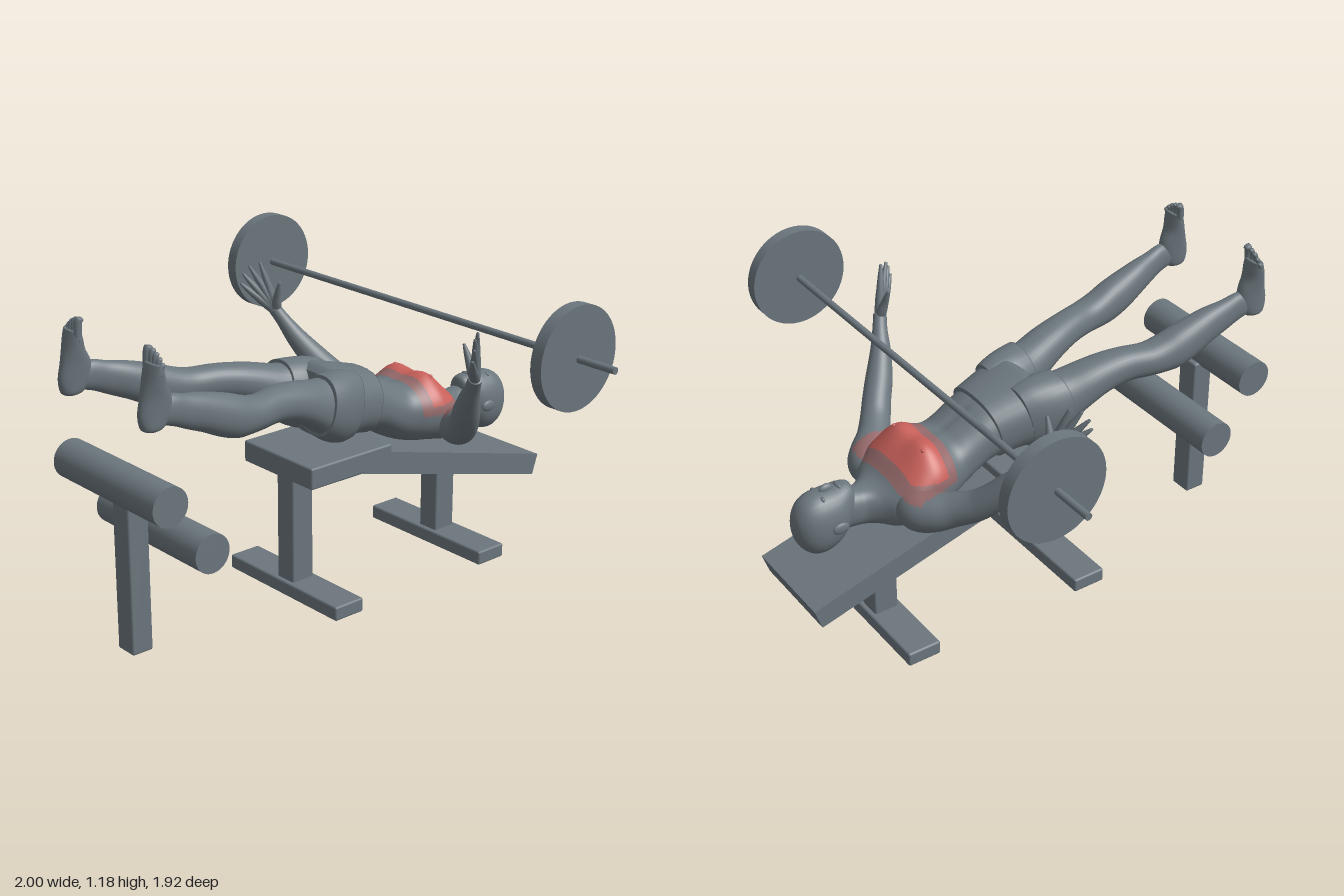
import * as THREE from 'three';
import { RoundedBoxGeometry } from 'three/addons/geometries/RoundedBoxGeometry.js';

const steel = new THREE.MeshStandardMaterial({ color: 0x6b767d });
const muscleRed = new THREE.MeshStandardMaterial({ color: 0xc8605a });
const fadedRed = new THREE.MeshStandardMaterial({ color: 0x94696a });
steel.name = 'steelGrey'; muscleRed.name = 'muscleRed'; fadedRed.name = 'fadedRed';
const tones = [steel, muscleRed, fadedRed];

// Smooth interpolation through rows of numbers, t in 0..1
function sample(rows, t) {
  const f = t * (rows.length - 1), i = Math.min(Math.floor(f), rows.length - 2), k = f - i;
  const at = (n) => rows[Math.max(0, Math.min(rows.length - 1, n))];
  const [a, b, c, d] = [at(i - 1), at(i), at(i + 1), at(i + 2)];
  return b.map((_, j) => b[j] + 0.5 * k * (c[j] - a[j]
    + k * (2 * a[j] - 5 * b[j] + 4 * c[j] - d[j] + k * (3 * (b[j] - c[j]) + d[j] - a[j]))));
}

// Closed skin over rings of points; paint(centroid) picks the tone of each triangle
function skin(rings, flip, paint) {
  const n = rings[0].length, pts = rings.flat(), lists = [[], [], []];
  const mid = (ring) => ring.reduce((s, p) => s.add(p), new THREE.Vector3()).divideScalar(n);
  const first = pts.length, last = first + 1;
  pts.push(mid(rings[0]), mid(rings[rings.length - 1]));
  const tri = (a, b, c) => {
    const m = pts[a].clone().add(pts[b]).add(pts[c]).divideScalar(3);
    lists[paint ? paint(m) : 0].push(...(flip ? [a, c, b] : [a, b, c]));
  };
  for (let i = 0; i < rings.length; i++) for (let j = 0; j < n; j++) {
    const k = (j + 1) % n, a = i * n + j, b = i * n + k;
    if (i === 0) tri(first, b, a);
    if (i === rings.length - 1) { tri(last, a, b); continue; }
    tri(a, b, b + n); tri(a, b + n, a + n);
  }
  const g = new THREE.BufferGeometry().setFromPoints(pts);
  g.setIndex(lists.flat());
  let start = 0;
  lists.forEach((l, m) => { if (l.length) g.addGroup(start, l.length, m); start += l.length; });
  g.computeVertexNormals();
  return g;
}

// Rows [station, x0, x1, b0, b1]: stations run along z (b is y) or along y (b is z)
function loft(rows, { axis = 'z', steps = 40, seg = 32, power = 2.2, bend, paint } = {}) {
  const rings = [];
  for (let i = 0; i <= steps; i++) {
    const [s, x0, x1, b0, b1] = sample(rows, i / steps), ring = [];
    for (let j = 0; j < seg; j++) {
      const a = j / seg * Math.PI * 2, c = Math.cos(a), d = Math.sin(a);
      const x = (x0 + x1) / 2 + (x1 - x0) / 2 * Math.sign(c) * Math.abs(c) ** (2 / power);
      const b = (b0 + b1) / 2 + (b1 - b0) / 2 * Math.sign(d) * Math.abs(d) ** (2 / power);
      const p = axis === 'z' ? new THREE.Vector3(x, b, s) : new THREE.Vector3(x, s, b);
      if (bend) bend(p, d);
      ring.push(p);
    }
    rings.push(ring);
  }
  return skin(rings, axis === 'y', paint);
}

// Tapered limb through rows [x, y, z, radius]
function limb(rows, steps = 12, seg = 10, paint) {
  const at = (t) => { const r = sample(rows, t); return [new THREE.Vector3(r[0], r[1], r[2]), r[3]]; };
  const u = new THREE.Vector3(), v = new THREE.Vector3(), rings = [];
  for (let i = 0; i <= steps; i++) {
    const t = i / steps, [p, r] = at(t);
    const dir = at(Math.min(1, t + 0.01))[0].sub(at(Math.max(0, t - 0.01))[0]).normalize();
    u.set(0.3, 0.1, -1).cross(dir).normalize();
    v.crossVectors(dir, u);
    rings.push(Array.from({ length: seg }, (_, j) => {
      const a = j / seg * Math.PI * 2;
      return p.clone().addScaledVector(u, r * Math.cos(a)).addScaledVector(v, r * Math.sin(a));
    }));
  }
  return skin(rings, false, paint);
}

// Highlighted chest area with a faded border
function chestTone({ x, y, z }) {
  const w = Math.abs(x);
  if (z > -0.535 && z < -0.4 && w < 0.185 && y > 0.64) return 1;
  return z > -0.575 && z < -0.36 && w < 0.225 && y > 0.605 ? 2 : 0;
}

export function createModel() {
  const model = new THREE.Group();
  const add = (name, geo, mat = steel, parent = model) => {
    const m = new THREE.Mesh(geo, mat);
    m.name = name; parent.add(m);
    return m;
  };
  const section = (name) => { const g = new THREE.Group(); g.name = name; model.add(g); return g; };
  const box = (name, parent, y0, y1, z0, z1, w) =>
    add(name, new RoundedBoxGeometry(w, y1 - y0, z1 - z0, 2, 0.008), steel, parent)
      .position.set(0, (y0 + y1) / 2, (z0 + z1) / 2);
  const rod = (name, parent, r, len, x, y, z, seg = 48) =>
    add(name, new THREE.CylinderGeometry(r, r, len, seg).rotateZ(Math.PI / 2), steel, parent).position.set(x, y, z);
  const ball = (name, parent, mat, x, y, z, a, b, c) =>
    add(name, new THREE.SphereGeometry(1, 16, 12).scale(a, b, c), mat, parent).position.set(x, y, z);

  // Barbell
  const barbell = section('barbell');
  rod('bar', barbell, 0.013, 2, 0, 0.99, -0.425, 20);
  for (const s of [-1, 1]) rod('weightPlate', barbell, 0.188, 0.048, s * 0.815, 0.992, -0.425, 64);

  // Bench with flat seat and declined back board
  const bench = section('bench');
  box('seat', bench, 0.475, 0.557, -0.178, 0.207, 0.38);
  const side = new THREE.Shape([[-0.04, 0.475], [-0.04, 0.55], [-0.175, 0.525], [-0.964, 0.314], [-0.938, 0.235]]
    .map(([z, y]) => new THREE.Vector2(z, y)));
  add('backBoard', new THREE.ExtrudeGeometry(side, { depth: 0.38, bevelEnabled: false })
    .translate(0, 0, -0.19).rotateY(-Math.PI / 2), steel, bench);
  for (const [z, top] of [[0.125, 0.49], [-0.6, 0.38 + 0.02]]) {
    box('benchLeg', bench, 0.04, top, z - 0.048, z + 0.048, 0.09);
    box('benchFoot', bench, 0, 0.055, z - 0.066, z + 0.066, 0.605);
  }

  // Roller stand
  const stand = section('rollerStand');
  box('standPost', stand, 0, 0.6, 0.805, 0.89, 0.09);
  rod('upperRoller', stand, 0.071, 0.575, 0, 0.635, 0.887);
  rod('lowerRoller', stand, 0.071, 0.575, 0, 0.422, 0.722);

  // Torso and neck: [z, half width, back, front]
  const body = section('figure');
  const wide = (rows) => rows.map(([z, w, b, f]) => [z, -w, w, b, f]);
  add('torso', loft(wide([
    [-0.78, 0.05, 0.47, 0.6], [-0.7, 0.058, 0.465, 0.608], [-0.66, 0.066, 0.46, 0.604], [-0.62, 0.1, 0.455, 0.606],
    [-0.58, 0.155, 0.45, 0.624], [-0.53, 0.185, 0.452, 0.672], [-0.47, 0.188, 0.462, 0.718], [-0.43, 0.186, 0.47, 0.728],
    [-0.38, 0.172, 0.478, 0.718], [-0.33, 0.152, 0.492, 0.715], [-0.28, 0.142, 0.515, 0.738], [-0.2, 0.143, 0.56, 0.782],
    [-0.12, 0.155, 0.585, 0.81],
  ]), {
    steps: 90, seg: 72, power: 2.3, paint: chestTone,
    bend(p, d) {
      if (d <= 0) return;
      const pec = Math.exp(-(((Math.abs(p.x) - 0.085) / 0.06) ** 2) - ((p.z + 0.44) / 0.06) ** 2);
      const belly = Math.exp(-((p.x / 0.014) ** 2) - ((p.z + 0.27) / 0.09) ** 2);
      p.y += d * (0.022 * pec - 0.008 * belly);
    },
  }), tones, body);

  // Shorts
  const hem = (p) => { p.z += (0.72 - p.y) * 0.2; };
  add('shorts', loft(wide([
    [-0.17, 0.153, 0.567, 0.806], [-0.1, 0.167, 0.58, 0.825], [-0.02, 0.185, 0.583, 0.845],
    [0.03, 0.193, 0.6, 0.852], [0.06, 0.15, 0.66, 0.83],
  ]), { bend: hem, power: 2.4 }), steel, body);

  // Head with face up
  add('head', loft(wide([
    [-0.926, 0.006, 0.525, 0.54], [-0.916, 0.04, 0.475, 0.585], [-0.89, 0.067, 0.434, 0.625], [-0.85, 0.081, 0.411, 0.646],
    [-0.8, 0.083, 0.416, 0.65], [-0.76, 0.077, 0.44, 0.65], [-0.725, 0.06, 0.48, 0.652], [-0.703, 0.042, 0.54, 0.645],
    [-0.695, 0.02, 0.58, 0.628],
  ]), { steps: 48 }), steel, body);
  ball('nose', body, steel, 0, 0.65, -0.79, 0.013, 0.02, 0.028);
  ball('lips', body, steel, 0, 0.649, -0.745, 0.024, 0.009, 0.01);

  for (const s of [-1, 1]) {
    const mirrorRows = (rows) => rows.map(([q, a, b, c, d]) => (s > 0 ? [q, a, b, c, d] : [q, -b, -a, c, d]));
    const mirrorPath = (rows) => rows.map(([x, y, z, r]) => [s * x, y, z, r]);
    const tag = s > 0 ? 'left' : 'right';

    ball(tag + 'Ear', body, steel, s * 0.085, 0.53, -0.785, 0.01, 0.022, 0.032);
    ball(tag + 'Eye', body, steel, s * 0.032, 0.636, -0.822, 0.015, 0.01, 0.008);
    ball(tag + 'Nipple', body, muscleRed, s * 0.096, 0.728, -0.455, 0.008, 0.008, 0.008);

    // Leg: [z, inner, outer, bottom, top]
    add(tag + 'Leg', loft(mirrorRows([
      [-0.02, 0.02, 0.18, 0.6, 0.835], [0.05, 0.012, 0.196, 0.615, 0.846], [0.12, 0.028, 0.204, 0.65, 0.85],
      [0.2, 0.052, 0.213, 0.705, 0.868], [0.28, 0.075, 0.218, 0.745, 0.882], [0.36, 0.1, 0.228, 0.765, 0.889],
      [0.44, 0.122, 0.248, 0.768, 0.889], [0.5, 0.13, 0.258, 0.767, 0.902], [0.56, 0.138, 0.265, 0.77, 0.925],
      [0.63, 0.147, 0.265, 0.794, 0.947], [0.7, 0.162, 0.261, 0.828, 0.966], [0.77, 0.183, 0.257, 0.858, 0.98],
      [0.83, 0.195, 0.256, 0.885, 0.995], [0.9, 0.203, 0.252, 0.905, 0.985],
    ]), { steps: 60 }), steel, body);
    add(tag + 'ShortsLeg', loft(mirrorRows([
      [-0.05, 0.01, 0.178, 0.59, 0.835], [0.0, 0.004, 0.194, 0.59, 0.85], [0.06, 0.004, 0.207, 0.61, 0.858],
      [0.12, 0.02, 0.211, 0.645, 0.859],
    ]), { steps: 24, bend: hem }), steel, body);

    // Foot: [y, inner, outer, instep, sole], then toes
    add(tag + 'Foot', loft(mirrorRows([
      [0.888, 0.212, 0.248, 0.885, 0.93], [0.9, 0.2, 0.258, 0.86, 0.949], [0.945, 0.195, 0.261, 0.83, 0.957],
      [1.0, 0.19, 0.265, 0.835, 0.945], [1.045, 0.185, 0.272, 0.857, 0.932], [1.085, 0.182, 0.277, 0.868, 0.92],
      [1.115, 0.185, 0.275, 0.876, 0.91],
    ]), { axis: 'y', steps: 28 }), steel, body);
    [[0.196, 1.162, 0.014], [0.219, 1.157, 0.01], [0.237, 1.148, 0.0095], [0.254, 1.135, 0.009], [0.268, 1.12, 0.009]]
      .forEach(([x, y, r]) => add(tag + 'Toe', limb(mirrorPath([
        [x, 1.08, 0.895, r], [x, y - 0.02, 0.892, r], [x, y - 0.006, 0.885, r], [x, y, 0.883, r * 0.4],
      ])), steel, body));

    // Arm from shoulder to wrist
    add(tag + 'Arm', limb(mirrorPath([
      [0.11, 0.55, -0.53, 0.06], [0.165, 0.55, -0.523, 0.076], [0.215, 0.558, -0.49, 0.073], [0.27, 0.58, -0.44, 0.062],
      [0.33, 0.612, -0.395, 0.056], [0.375, 0.655, -0.36, 0.053], [0.42, 0.71, -0.32, 0.05], [0.47, 0.78, -0.28, 0.039],
      [0.515, 0.845, -0.252, 0.028], [0.545, 0.89, -0.232, 0.025],
    ]), 50, 32, chestTone), tones, body);

    // Hand: fingers fan out from the wrist, [knuckle, tip]
    [[[0.562, 0.985, -0.215], [0.585, 1.07, -0.195]], [[0.576, 0.98, -0.197], [0.607, 1.058, -0.16]],
      [[0.586, 0.965, -0.182], [0.624, 1.028, -0.142]], [[0.59, 0.945, -0.173], [0.626, 0.99, -0.132]],
      [[0.52, 0.945, -0.225], [0.497, 1.005, -0.22]]].forEach(([k, t], i) => {
      const between = k.map((v, j) => (v + t[j]) / 2);
      add(tag + (i < 4 ? 'Finger' : 'Thumb'), limb(mirrorPath([
        [0.54, 0.88, -0.236, 0.019], [(0.54 + k[0]) / 2, (0.88 + k[1]) / 2, (-0.236 + k[2]) / 2, 0.019],
        [...k, 0.0145], [...between, 0.0105], [...t, 0.005],
      ]), 16), steel, body);
    });
  }
  return model;
}
